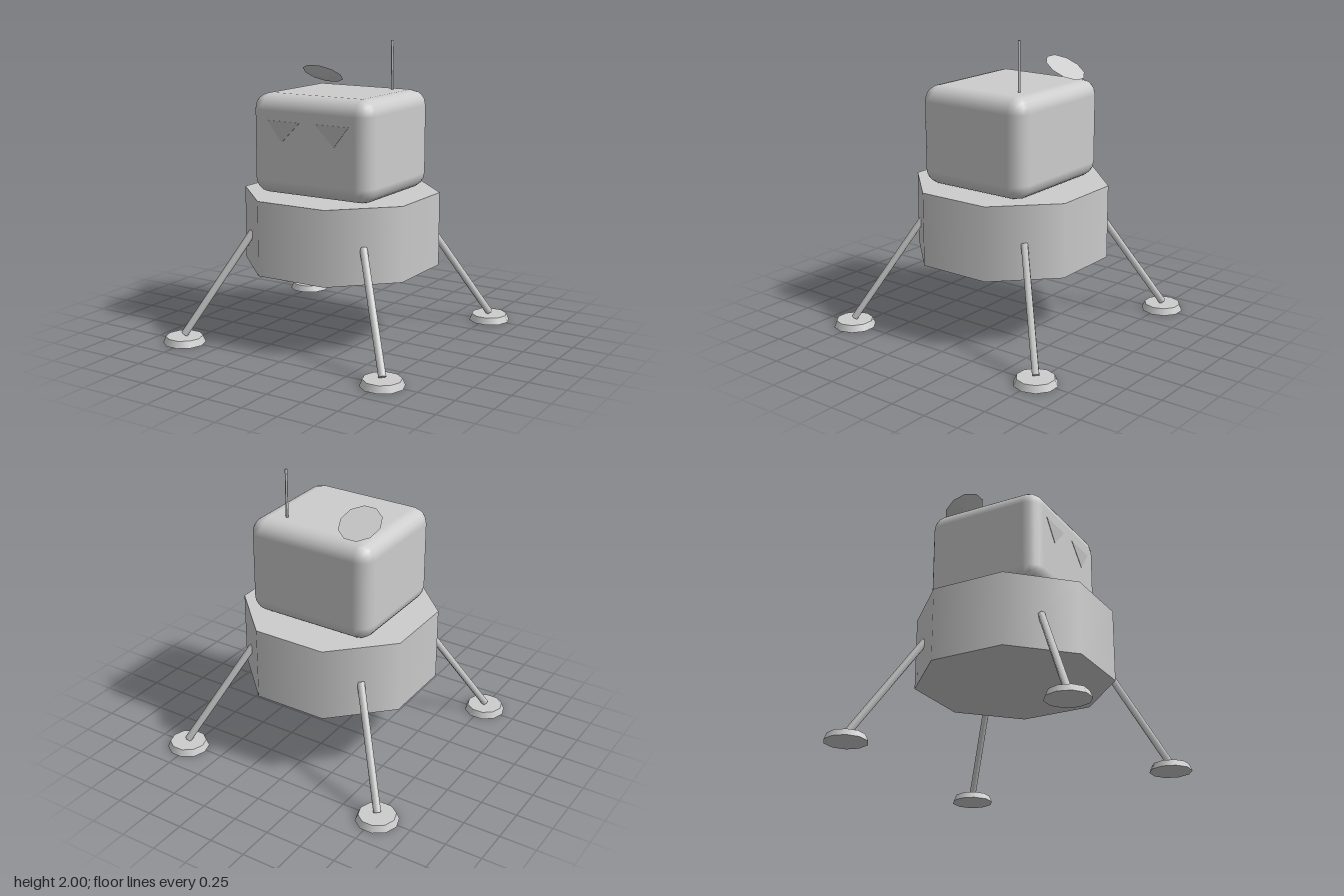
import * as THREE from 'three';
import { RoundedBoxGeometry } from 'three/addons/geometries/RoundedBoxGeometry.js';

export function createModel() {
  const lander = new THREE.Group();
  lander.name = 'lander';
  const hull = new THREE.MeshStandardMaterial({ name: 'hull grey', color: 0xcccccc });
  const glass = new THREE.MeshStandardMaterial({ name: 'window grey', color: 0xbebebe });

  function add(name, geometry, material = hull, parent = lander) {
    const mesh = new THREE.Mesh(geometry, material);
    mesh.name = name;
    parent.add(mesh);
    return mesh;
  }

  // Octagonal descent stage with a shallow point underneath
  const stageRadius = 0.667;
  add('descentStage', new THREE.CylinderGeometry(stageRadius, stageRadius, 0.5, 8, 1, false, Math.PI / 8))
    .position.y = 0.75;
  const belly = add('belly', new THREE.ConeGeometry(stageRadius - 0.01, 0.014, 8, 1, true, Math.PI / 8));
  belly.rotation.x = Math.PI;
  belly.position.y = 0.493;

  // Rounded crew cabin
  add('cabin', new RoundedBoxGeometry(0.915, 0.67, 0.83, 2, 0.105)).position.y = 1.335;

  // Triangular windows, mirrored, pointing down
  for (const side of [-1, 1]) {
    const shape = new THREE.Shape([
      new THREE.Vector2(side * 0.06, 1.5),
      new THREE.Vector2(side * 0.31, 1.5),
      new THREE.Vector2(side * 0.2, 1.36),
    ]);
    const geometry = new THREE.ExtrudeGeometry(shape, { depth: 0.004, bevelEnabled: false });
    add(side > 0 ? 'leftWindow' : 'rightWindow', geometry, glass).position.z = 0.414;
  }

  // Four splayed legs with footpads
  const up = new THREE.Vector3(0, 1, 0);
  for (const sx of [-1, 1]) {
    for (const sz of [-1, 1]) {
      const leg = new THREE.Group();
      leg.name = (sz > 0 ? 'front' : 'back') + (sx > 0 ? 'Left' : 'Right') + 'Leg';
      lander.add(leg);

      const top = new THREE.Vector3(sx * 0.43, 0.74, sz * 0.43);
      const foot = new THREE.Vector3(sx * 0.767, 0.055, sz * 0.767);
      const axis = top.clone().sub(foot);
      const strut = add('strut', new THREE.CylinderGeometry(0.025, 0.025, axis.length(), 6), hull, leg);
      strut.position.copy(top).add(foot).multiplyScalar(0.5);
      strut.quaternion.setFromUnitVectors(up, axis.normalize());

      const pad = add('footpad', new THREE.CylinderGeometry(0.124, 0.143, 0.045, 10), hull, leg);
      pad.position.set(sx * 0.767, 0.0225, sz * 0.767);
      pad.rotation.y = Math.PI / 2;
    }
  }

  // Shallow dish, its flat face tilted up and to the back
  const dishGeometry = new THREE.ConeGeometry(0.145, 0.03, 10);
  dishGeometry.rotateX(Math.PI).rotateY(Math.PI / 2).translate(0, -0.015, 0);
  const dish = add('dish', dishGeometry);
  dish.position.set(-0.295, 1.748, -0.232);
  dish.rotation.x = -0.51;

  // Whip antenna
  add('antenna', new THREE.CylinderGeometry(0.009, 0.009, 0.35, 6)).position.set(0.247, 1.825, -0.25);

  return lander;
}
